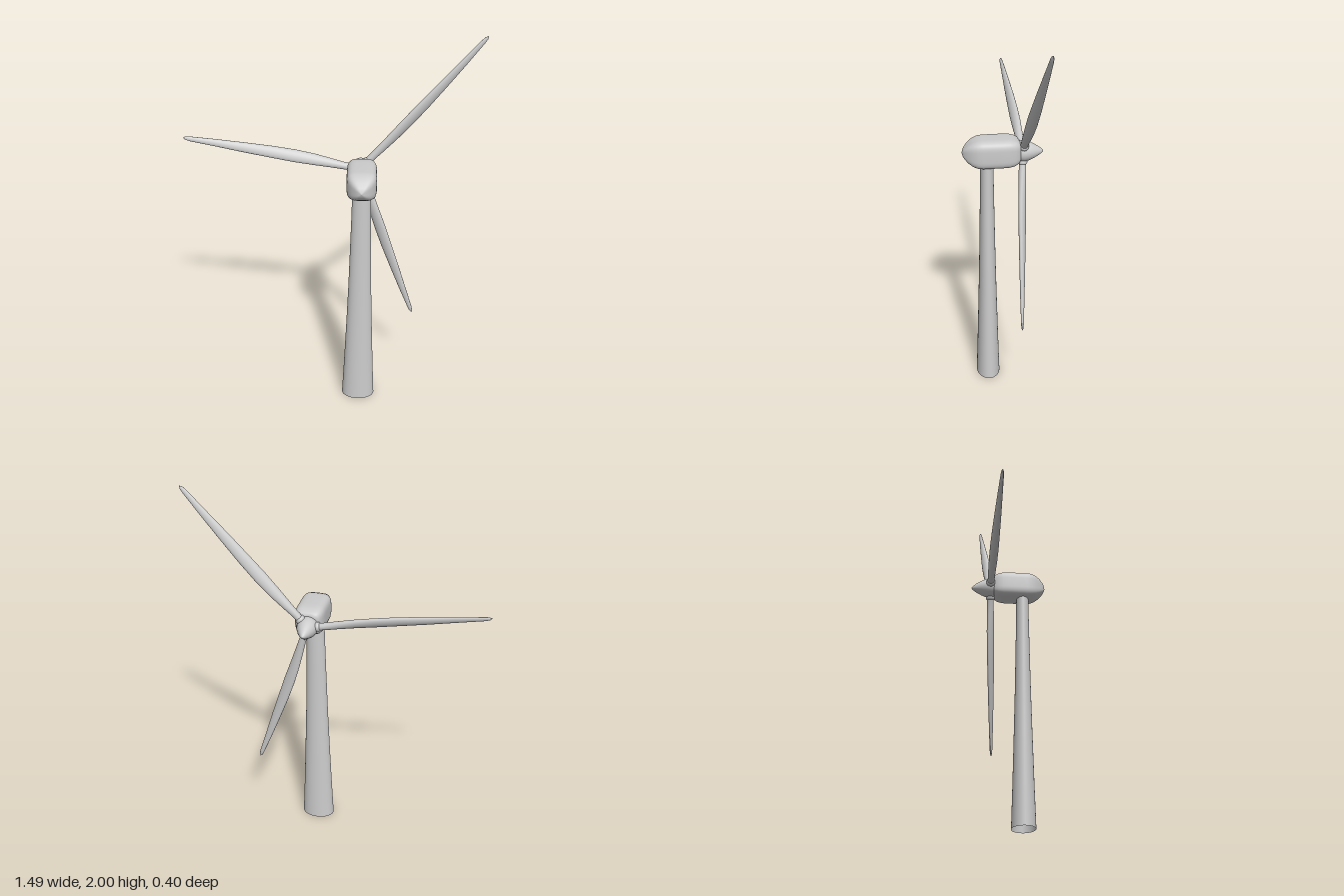
import * as THREE from 'three';

const material = new THREE.MeshStandardMaterial({ color: 0xcccccc, side: THREE.DoubleSide });

function addMesh(parent, name, geometry) {
  const mesh = new THREE.Mesh(geometry, material);
  mesh.name = name;
  parent.add(mesh);
  return mesh;
}

// Skin closed superellipse sections stacked along +z.
// Each section: { z, rx, ry, twist, dx }; power 2 is an ellipse, higher is squarer.
function loft(sections, power = 2, sides = 32) {
  const positions = [], index = [];
  for (const { z, rx, ry, twist = 0, dx = 0 } of sections) {
    const c = Math.cos(twist), s = Math.sin(twist);
    for (let j = 0; j < sides; j++) {
      const a = (j / sides) * Math.PI * 2;
      const round = (v) => Math.sign(v) * Math.abs(v) ** (2 / power);
      const x = rx * round(Math.cos(a)), y = ry * round(Math.sin(a));
      positions.push(dx + x * c - y * s, x * s + y * c, z);
    }
  }
  for (let i = 0; i < sections.length - 1; i++) {
    for (let j = 0; j < sides; j++) {
      const k = (j + 1) % sides;
      const a = i * sides + j, b = i * sides + k;
      index.push(a, b, b + sides, a, b + sides, a + sides);
    }
  }
  const geometry = new THREE.BufferGeometry();
  geometry.setAttribute('position', new THREE.Float32BufferAttribute(positions, 3));
  geometry.setIndex(index);
  geometry.computeVertexNormals();
  return geometry;
}

const lathe = (points, sides = 40) =>
  new THREE.LatheGeometry(points.map(([r, y]) => new THREE.Vector2(r, y)), sides);

// Blade: round root, widest at a third, slim pointed tip, pitched about its length
function bladeGeometry() {
  const rows = [ // distance from hub, half chord, half thickness, pitch, sideways bow
    [0.03, 0.018, 0.018, 0.6, 0], [0.09, 0.019, 0.018, 0.6, 0],
    [0.15, 0.023, 0.018, 0.58, 0.003], [0.24, 0.029, 0.017, 0.55, 0.006],
    [0.34, 0.032, 0.016, 0.5, 0.007], [0.46, 0.030, 0.015, 0.45, 0.007],
    [0.60, 0.025, 0.013, 0.4, 0.005], [0.75, 0.018, 0.010, 0.35, 0.003],
    [0.87, 0.012, 0.007, 0.3, 0], [0.895, 0.009, 0.005, 0.3, 0],
    [0.91, 0, 0, 0.3, 0],
  ];
  const sections = rows.map(([z, rx, ry, twist, dx]) => ({ z, rx, ry, twist, dx }));
  return loft(sections, 2, 24).rotateX(-Math.PI / 2);
}

export function createModel() {
  const model = new THREE.Group();
  model.name = 'windTurbine';

  // Oval tower, open underneath, flaring towards the foot
  const tower = addMesh(model, 'tower', lathe([
    [0.088, 0], [0.079, 0.2], [0.069, 0.45], [0.060, 0.7], [0.053, 0.95], [0.048, 1.15], [0.046, 1.29],
  ]));
  tower.scale.z = 0.7;
  tower.position.set(0.153, 0, 0.078);

  // Rounded-square housing with a blunt pyramid nose
  const housing = [
    [-0.085, 0], [-0.084, 0.045], [-0.075, 0.057], [-0.055, 0.067], [-0.03, 0.072],
    [0.0, 0.073], [0.1, 0.073], [0.125, 0.07], [0.148, 0.061],
    [0.17, 0.046], [0.188, 0.027], [0.196, 0.013], [0.2, 0],
  ];
  const nacelle = addMesh(model, 'nacelle',
    loft(housing.map(([z, r]) => ({ z, rx: r * 1.03, ry: r })), 4, 48));
  nacelle.position.set(0.153, 1.318, 0);

  // Rotor, slightly tilted
  const rotor = new THREE.Group();
  rotor.name = 'rotor';
  rotor.position.set(0.147, 1.31, -0.098);
  rotor.rotation.set(-0.039, 0.011, 0);
  model.add(rotor);

  // Bullet-shaped hub pointing to -z
  addMesh(rotor, 'hub', lathe([
    [0, -0.03], [0.045, -0.03], [0.052, -0.015], [0.053, 0.005], [0.048, 0.027],
    [0.038, 0.05], [0.025, 0.074], [0.012, 0.093], [0.004, 0.1], [0, 0.101],
  ]).rotateX(-Math.PI / 2));

  // Three blades, each in a rounded collar
  const blade = bladeGeometry();
  const collar = lathe([
    [0.022, 0.025], [0.024, 0.052], [0.023, 0.061], [0.019, 0.065], [0.015, 0.065],
  ], 24);
  for (const degrees of [49.4, 170, 288.8]) {
    const arm = new THREE.Group();
    arm.name = 'bladeArm';
    arm.rotation.z = THREE.MathUtils.degToRad(degrees - 90);
    rotor.add(arm);
    addMesh(arm, 'blade', blade);
    addMesh(arm, 'bladeCollar', collar);
  }

  return model;
}
